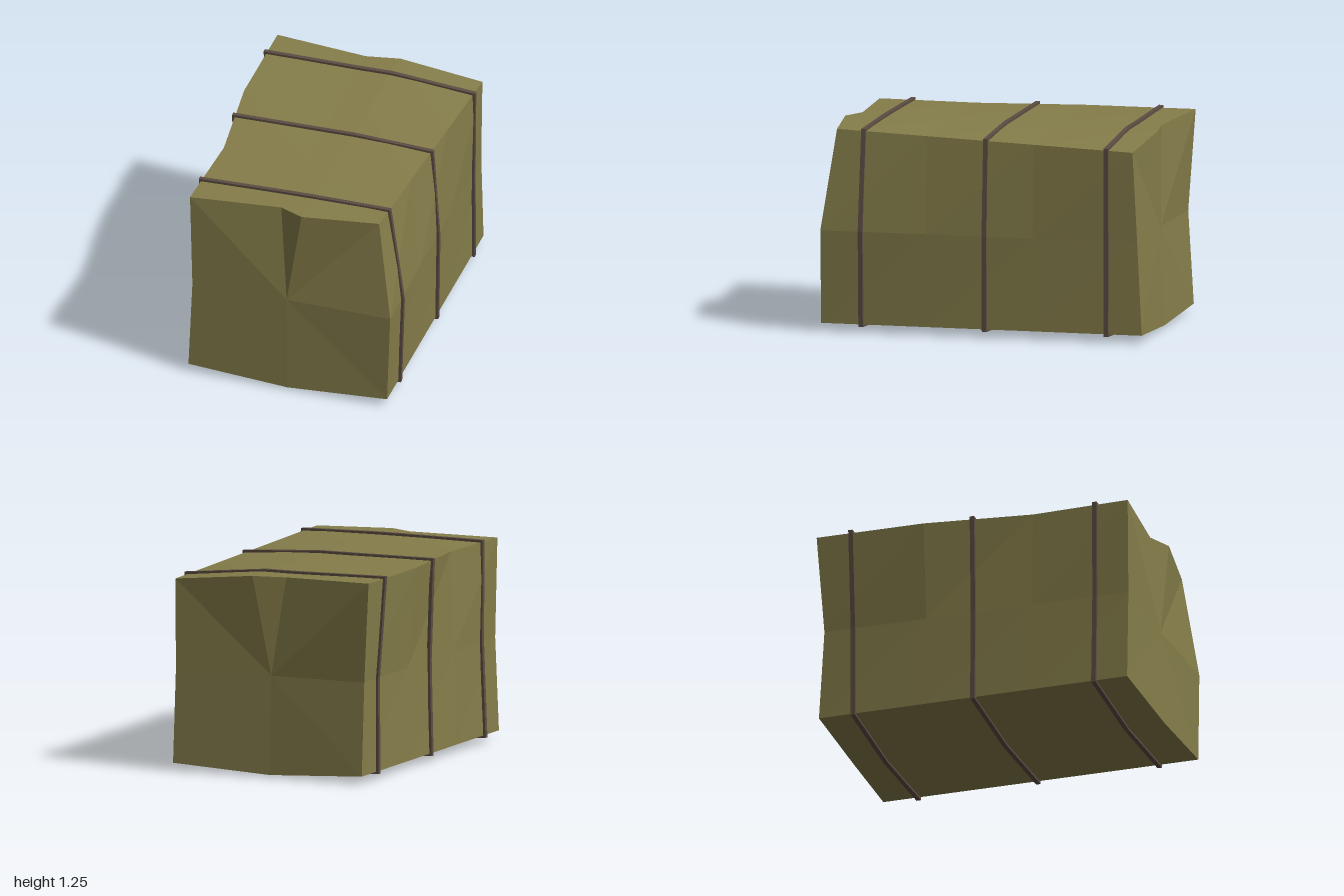
import * as THREE from 'three';

// End outlines, anticlockwise from the bottom left: [x, y, z]
const FRONT = [
  [-0.625, 0.05, 0.96], [0.01, 0.015, 0.99], [0.645, 0.05, 1], // bottom
  [0.665, 0.62, 1], // right bulge
  [0.57, 1.23, 0.92], [0.1, 1.235, 0.99], [-0.05, 1.235, 0.92], [-0.615, 1.23, 0.96], // top
  [-0.6, 0.62, 0.96], // left dent
];
const BACK = [
  [-0.625, 0.05, -1], [0, 0.015, -0.98], [0.635, 0.05, -1],
  [0.63, 0.62, -0.97],
  [0.645, 1.17, -0.945], [0.12, 1.225, -0.97], [-0.09, 1.225, -0.935], [-0.67, 1.235, -1],
  [-0.625, 0.62, -0.965],
];
const TOP_LEFT = 7;
const CENTRE_Y = 0.62;

// Outline between the ends; the upper left edge has a step along its length
function section(z, topLeftX) {
  return FRONT.map((f, i) => {
    const b = BACK[i];
    const t = (f[2] - z) / (f[2] - b[2]);
    const x = i === TOP_LEFT ? topLeftX : f[0] + (b[0] - f[0]) * t;
    return [x, f[1] + (b[1] - f[1]) * t, z];
  });
}

// Flat-sided skin through the rings, with a fan closing each end
function baleGeometry(rings, frontZ, backZ) {
  const pos = [];
  const tri = (...pts) => pts.forEach((p) => pos.push(...p));
  const n = FRONT.length;
  for (let i = 0; i < n; i++) {
    const j = (i + 1) % n;
    for (let r = 0; r < rings.length - 1; r++) {
      const a = rings[r], b = rings[r + 1];
      tri(a[i], b[i], b[j]);
      tri(a[i], b[j], a[j]);
    }
    const last = rings[rings.length - 1];
    tri([0, CENTRE_Y, frontZ], rings[0][i], rings[0][j]);
    tri([0, CENTRE_Y, backZ], last[j], last[i]);
  }
  const g = new THREE.BufferGeometry();
  g.setAttribute('position', new THREE.Float32BufferAttribute(pos, 3));
  g.computeVertexNormals();
  return g;
}

// Closed band following an outline
function strapGeometry(ring, width) {
  const outline = (s) => ring.map(([x, y]) => new THREE.Vector2(x * s, CENTRE_Y + (y - CENTRE_Y) * s));
  const shape = new THREE.Shape(outline(1.024));
  shape.holes.push(new THREE.Path(outline(0.99).reverse()));
  const g = new THREE.ExtrudeGeometry(shape, { depth: width, bevelEnabled: false });
  return g.translate(0, 0, ring[0][2] - width / 2);
}

export function createModel() {
  const model = new THREE.Group();
  model.name = 'strappedBale';
  const hay = new THREE.MeshStandardMaterial({ color: 0x857d4a, flatShading: true });
  const cord = new THREE.MeshStandardMaterial({ color: 0x5c4d43, flatShading: true });

  // Bale body
  const rings = [FRONT, section(0.35, -0.59), section(-0.32, -0.67), BACK];
  const bale = new THREE.Mesh(baleGeometry(rings, 0.97, -0.955), hay);
  bale.name = 'bale';
  model.add(bale);

  // Three straps: [name, z, x of the upper left edge there]
  const straps = [['frontStrap', 0.75, -0.606], ['middleStrap', -0.02, -0.634], ['backStrap', -0.78, -0.67]];
  for (const [name, z, topLeftX] of straps) {
    const strap = new THREE.Mesh(strapGeometry(section(z, topLeftX), 0.028), cord);
    strap.name = name;
    model.add(strap);
  }
  return model;
}
